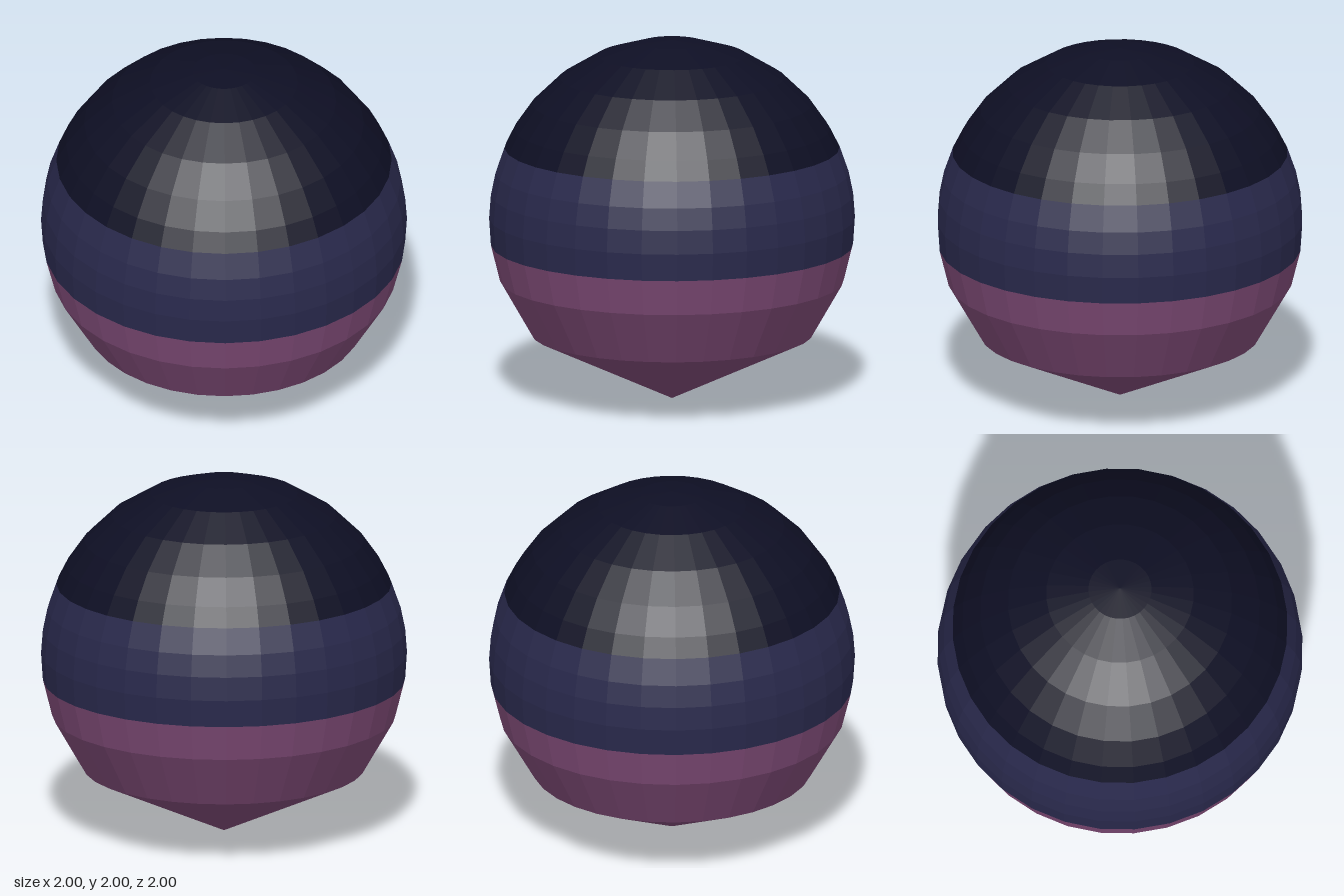
import * as THREE from 'three';

const SIDES = 32;

function flat(name, color) {
  return new THREE.MeshStandardMaterial({ name, color, flatShading: true });
}

export function createModel() {
  const model = new THREE.Group();
  model.name = 'skyDome';

  // Each band lists its ring heights from bottom to top; every ring lies on a unit sphere
  const bands = [
    { name: 'horizonBand', material: flat('dusky pink', 0x7e4a76), heights: [0, 0.36, 0.66, 0.86] },
    { name: 'middleBand', material: flat('twilight blue', 0x29294c), heights: [0.86, 1.01, 1.14, 1.26, 1.4] },
    { name: 'upperCap', material: flat('night navy', 0x0e0f24), heights: [1.4, 1.505, 1.645, 1.79, 1.915, 1.985, 2] },
  ];

  for (const { name, material, heights } of bands) {
    const profile = heights.map((y) => new THREE.Vector2(Math.sqrt(Math.max(0, 1 - (y - 1) ** 2)), y));
    const mesh = new THREE.Mesh(new THREE.LatheGeometry(profile, SIDES), material);
    mesh.name = name;
    model.add(mesh);
  }
  return model;
}
